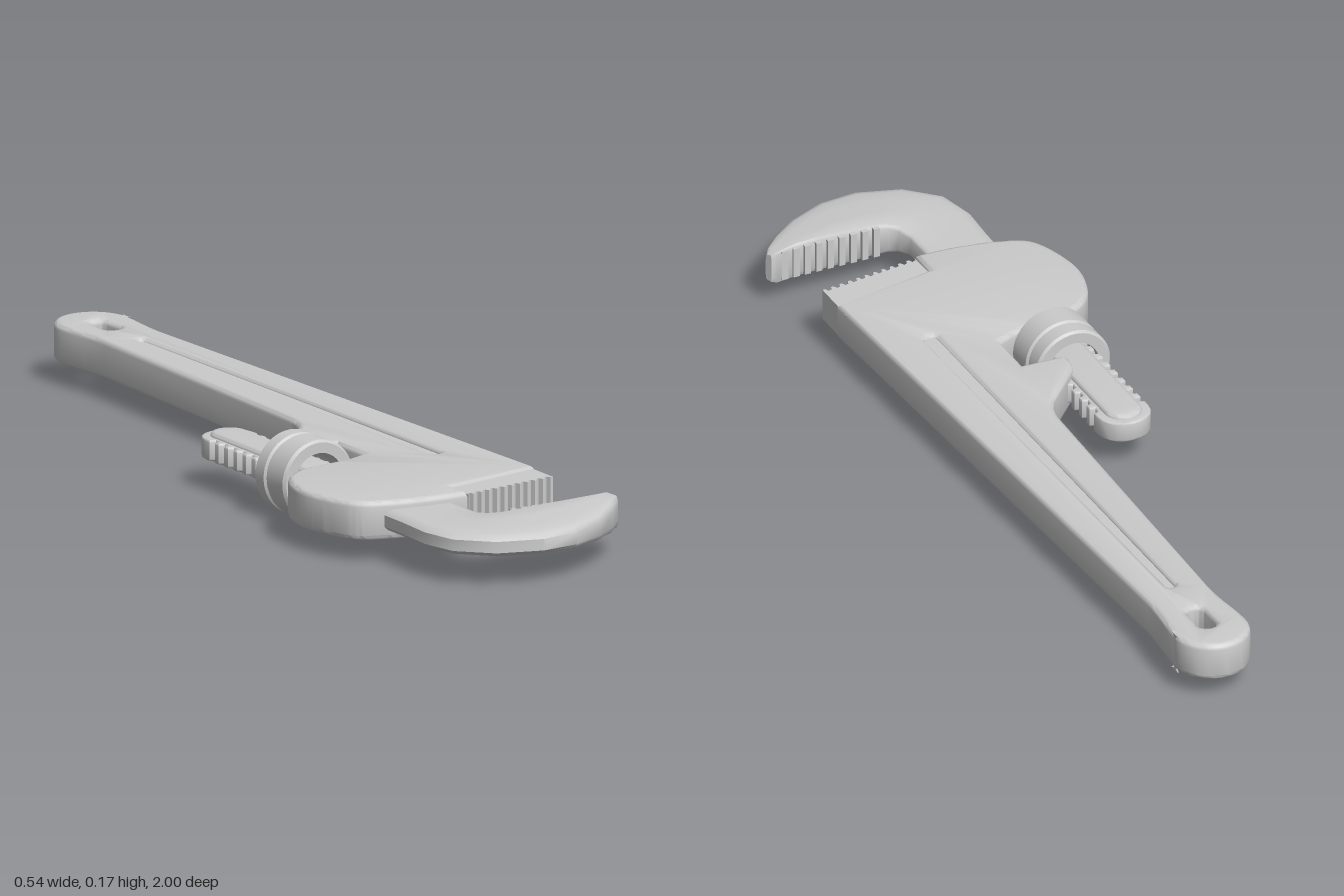
import * as THREE from 'three';
import { toCreasedNormals } from 'three/addons/utils/BufferGeometryUtils.js';

const MID = 0.087; // height of the tool's middle plane
const AXIS = -0.117; // x of the sliding rack
const material = new THREE.MeshStandardMaterial({ color: 0xcccccc, side: THREE.DoubleSide });

const vectors = (list) => list.map(([x, z]) => new THREE.Vector2(x, z));

// Plate drawn in plan (x, z), centred on the middle plane, with rounded edges
function plate(shape, half, bevel) {
  const geo = new THREE.ExtrudeGeometry(shape, {
    depth: 2 * (half - bevel),
    bevelEnabled: bevel > 0,
    bevelSize: bevel,
    bevelThickness: bevel,
    bevelOffset: -bevel,
    bevelSegments: 3,
    curveSegments: 10,
  });
  geo.translate(0, 0, bevel - half);
  geo.rotateX(Math.PI / 2);
  geo.translate(0, MID, 0);
  return toCreasedNormals(geo, 0.6);
}

// Slot outline with round ends, possibly tapered
function slot(x0, z0, r0, x1, z1, r1) {
  const path = new THREE.Path();
  path.absarc(x0, z0 + r0, r0, Math.PI, 2 * Math.PI, false);
  path.absarc(x1, z1 - r1, r1, 0, Math.PI, false);
  path.closePath();
  return path;
}

// Handle, spur and head in one casting
function bodyGeometry() {
  const s = new THREE.Shape();
  s.moveTo(0.235, 0.57);
  s.lineTo(0.185, -0.77);
  s.bezierCurveTo(0.186, -0.84, 0.194, -0.87, 0.194, -0.92);
  s.absarc(0.113, -0.919, 0.081, 0, Math.PI, true);
  s.bezierCurveTo(0.032, -0.87, 0.043, -0.84, 0.044, -0.77);
  s.lineTo(0.023, -0.03);
  s.quadraticCurveTo(0.02, 0.02, -0.01, 0.05);
  s.lineTo(-0.085, 0.13);
  s.quadraticCurveTo(-0.1, 0.15, -0.095, 0.187);
  s.lineTo(0, 0.19);
  s.lineTo(0, 0.292);
  s.splineThru(vectors([
    [-0.06, 0.315], [-0.17, 0.333], [-0.235, 0.375], [-0.268, 0.45], [-0.27, 0.53],
    [-0.237, 0.625], [-0.17, 0.66], [-0.08, 0.677], [0.004, 0.68],
  ]));
  s.lineTo(0.005, 0.615);
  s.closePath();
  s.holes.push(slot(0.114, -0.92, 0.02, 0.114, -0.835, 0.02));
  s.holes.push(slot(0.114, -0.74, 0.008, 0.122, 0.375, 0.014));
  return plate(s, 0.0415, 0.012);
}

// Replaceable jaw plate with a row of teeth
function heelJawGeometry() {
  const s = new THREE.Shape();
  s.moveTo(0.006, 0.58);
  s.lineTo(0.233, 0.53);
  s.lineTo(0.232, 0.645);
  const teeth = 11;
  for (let i = 0; i < teeth; i++) {
    const t = (f) => [0.232 - 0.224 * (i + f) / teeth, 0.645 + 0.032 * (i + f) / teeth];
    const [a, b, c] = [t(0.3), t(0.5), t(0.9)];
    s.lineTo(a[0], a[1]);
    s.lineTo(b[0], b[1] - 0.01);
    s.lineTo(c[0], c[1] - 0.008);
    s.lineTo(...t(1));
  }
  s.closePath();
  return plate(s, 0.034, 0);
}

// Sliding rack: teeth along both edges and a rounded end
function rackGeometry() {
  const teeth = 16, pitch = 0.035, start = -0.035, outer = 0.058, root = 0.046;
  const side = [];
  for (let i = 0; i < teeth; i++) {
    const z = start + i * pitch;
    side.push([outer, z], [outer, z + pitch * 0.4], [root, z + pitch * 0.55], [root, z + pitch * 0.9]);
  }
  const s = new THREE.Shape();
  s.moveTo(AXIS - outer, start);
  s.bezierCurveTo(AXIS - outer, -0.108, AXIS + outer, -0.108, AXIS + outer, start);
  side.forEach(([w, z]) => s.lineTo(AXIS + w, z));
  side.reverse().forEach(([w, z]) => s.lineTo(AXIS - w, z));
  return plate(s, 0.022, 0.004);
}

// Hook jaw lofted along its bend: inner x, z, outer x, z, inner and outer half thickness
function hookGeometry() {
  const sections = [
    [-0.03, 0.5, -0.18, 0.5, 0.024, 0.024],
    [-0.03, 0.72, -0.182, 0.73, 0.024, 0.024],
    [-0.029, 0.775, -0.187, 0.82, 0.025, 0.024],
    [-0.018, 0.805, -0.17, 0.9, 0.03, 0.024],
    [0.0, 0.82, -0.105, 0.965, 0.034, 0.024],
    [0.03, 0.825, -0.01, 0.995, 0.037, 0.024],
    [0.08, 0.825, 0.075, 0.985, 0.039, 0.026],
    [0.14, 0.825, 0.16, 0.943, 0.039, 0.029],
    [0.2, 0.825, 0.222, 0.892, 0.039, 0.032],
    [0.25, 0.817, 0.26, 0.85, 0.037, 0.033],
    [0.264, 0.818, 0.27, 0.832, 0.031, 0.029],
  ];
  const half = [[0, 0.75], [0.02, 0.92], [0.07, 1], [0.35, 1], [0.65, 1], [0.86, 0.96], [0.95, 0.82], [1, 0.5]];
  const loop = [...half, ...half.map(([u, h]) => [u, -h]).reverse()];
  const n = loop.length, pos = [], index = [];
  for (const [ix, iz, ox, oz, hi, ho] of sections) {
    for (const [u, h] of loop) {
      pos.push(ix + (ox - ix) * u, MID + h * (hi + (ho - hi) * u), iz + (oz - iz) * u);
    }
  }
  for (let i = 0; i < sections.length - 1; i++) {
    for (let j = 0; j < n; j++) {
      const a = i * n + j, b = i * n + (j + 1) % n;
      index.push(a, b, a + n, b, b + n, a + n);
    }
  }
  const last = (sections.length - 1) * n;
  for (let j = 1; j < n - 1; j++) index.push(last, last + j, last + j + 1);
  const geo = new THREE.BufferGeometry();
  geo.setAttribute('position', new THREE.Float32BufferAttribute(pos, 3));
  geo.setIndex(index);
  return toCreasedNormals(geo, 0.75);
}

// Adjusting nut: hollow ring with two bands and a groove
function nutGeometry() {
  const profile = vectors([
    [0.058, 0.192], [0.08, 0.192], [0.085, 0.197], [0.085, 0.228], [0.08, 0.232], [0.08, 0.238],
    [0.085, 0.242], [0.085, 0.3], [0.08, 0.306], [0.058, 0.306], [0.058, 0.192],
  ]);
  const geo = new THREE.LatheGeometry(profile, 48);
  geo.rotateX(Math.PI / 2);
  geo.translate(AXIS, MID, 0);
  return toCreasedNormals(geo, 0.5);
}

export function createModel() {
  const model = new THREE.Group();
  const add = (name, geo) => {
    const mesh = new THREE.Mesh(geo, material);
    mesh.name = name;
    model.add(mesh);
    return mesh;
  };

  add('body', bodyGeometry());

  // Floor of the shallow groove on both faces of the handle
  add('grooveFloor', new THREE.BoxGeometry(0.05, 0.066, 1.16)).position.set(0.118, MID, -0.18);

  add('heelJaw', heelJawGeometry());
  add('hookJaw', hookGeometry());

  // Teeth across the inner face of the hook
  const hookTeeth = new THREE.Group();
  hookTeeth.name = 'hookTeeth';
  const tooth = new THREE.BoxGeometry(0.014, 0.066, 0.016);
  for (let i = 0; i < 9; i++) {
    const mesh = new THREE.Mesh(tooth, material);
    mesh.position.set(0.025 + i * 0.026, MID, 0.825);
    hookTeeth.add(mesh);
  }
  model.add(hookTeeth);

  add('rack', rackGeometry());

  // Raised spine along the rack
  const spine = new THREE.Shape(slot(AXIS, -0.075, 0.04, AXIS, 0.5, 0.04).getPoints(10));
  add('rackSpine', plate(spine, 0.031, 0.01));

  add('adjustingNut', nutGeometry());
  return model;
}
